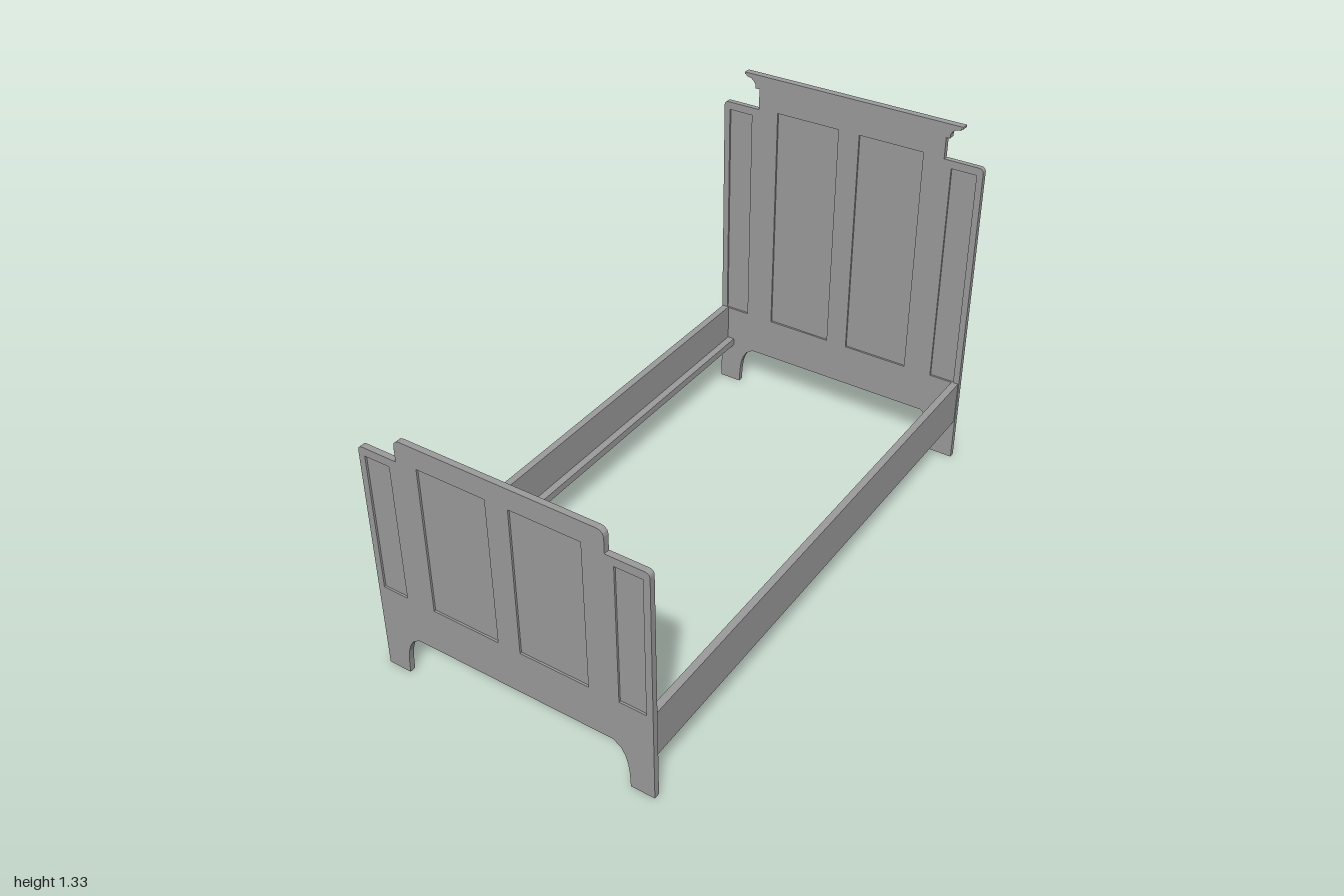
import * as THREE from 'three';

const material = new THREE.MeshStandardMaterial({ color: 0x9c9c9c, flatShading: true, side: THREE.DoubleSide });

function addMesh(parent, name, geometry, x = 0, y = 0, z = 0) {
  const mesh = new THREE.Mesh(geometry, material);
  mesh.name = name;
  mesh.position.set(x, y, z);
  parent.add(mesh);
}

// Closed outline from its right half, listed from bottom to top
function mirroredShape(half) {
  const left = half.map(([x, y]) => [-x, y]).reverse();
  return new THREE.Shape([...half, ...left].map(([x, y]) => new THREE.Vector2(x, y)));
}

function rectHole(x0, x1, y0, y1) {
  return new THREE.Path([[x0, y0], [x0, y1], [x1, y1], [x1, y0]].map(([x, y]) => new THREE.Vector2(x, y)));
}

// Rounded outer corner whose sharp point is (x, y)
function corner(x, y, r) {
  return [0, 1, 2, 3].map((i) => {
    const a = (i / 3) * Math.PI / 2;
    return [x - r + r * Math.cos(a), y - r + r * Math.sin(a)];
  });
}

const PANEL_BOTTOM = 0.328;
const RECESS = 0.007;

// Arched opening between the legs, then the outer foot
const legs = [
  [0.37, 0.164], [0.397, 0.145], [0.412, 0.12], [0.421, 0.09],
  [0.426, 0.05], [0.428, 0], [0.513, 0],
];

// Framed board with recessed panels on both faces
function makeBoard(name, upper, sideTop, centreTop, zBack, depth) {
  const board = new THREE.Group();
  board.name = name;
  const panels = [
    [-0.49, -0.396, sideTop], [-0.289, -0.041, centreTop],
    [0.041, 0.289, centreTop], [0.396, 0.49, sideTop],
  ];
  const shape = mirroredShape([...legs, ...upper]);
  for (const [x0, x1, top] of panels) {
    shape.holes.push(rectHole(x0, x1, PANEL_BOTTOM, top));
    const h = top - PANEL_BOTTOM;
    addMesh(board, 'recessedPanel', new THREE.BoxGeometry(x1 - x0, h, depth - 2 * RECESS),
      (x0 + x1) / 2, PANEL_BOTTOM + h / 2, zBack + depth / 2);
  }
  addMesh(board, name + 'Frame', new THREE.ExtrudeGeometry(shape, { depth, bevelEnabled: false }), 0, 0, zBack);
  return board;
}

export function createModel() {
  const bed = new THREE.Group();
  bed.name = 'bedFrame';

  // Footboard with a raised centre
  bed.add(makeBoard('footboard', [
    ...corner(0.513, 0.86, 0.015), [0.367, 0.86], ...corner(0.367, 0.938, 0.022),
  ], 0.83, 0.865, 0.979, 0.021));

  // Headboard with a tall neck
  bed.add(makeBoard('headboard', [
    ...corner(0.513, 1.2, 0.015), [0.367, 1.2], [0.367, 1.282],
  ], 1.171, 1.204, -0.997, 0.02));

  // Moulded cornice on top of the headboard, slightly proud of it
  const cornice = mirroredShape([
    [0.367, 1.28], [0.382, 1.28], [0.383, 1.295], [0.389, 1.305], [0.4, 1.314],
    [0.419, 1.318], [0.42, 1.324], [0.427, 1.324], [0.427, 1.332],
  ]);
  addMesh(bed, 'cornice', new THREE.ExtrudeGeometry(cornice, { depth: 0.026, bevelEnabled: false }), 0, 0, -1);

  // Side rails, each with an inner slat ledge along the bottom
  const length = 1.956;
  for (const [side, name] of [[-1, 'right'], [1, 'left']]) {
    addMesh(bed, name + 'Rail', new THREE.BoxGeometry(0.026, 0.168, length), side * 0.497, 0.246, 0.001);
    addMesh(bed, name + 'Ledge', new THREE.BoxGeometry(0.027, 0.028, length), side * 0.4705, 0.176, 0.001);
  }
  return bed;
}
